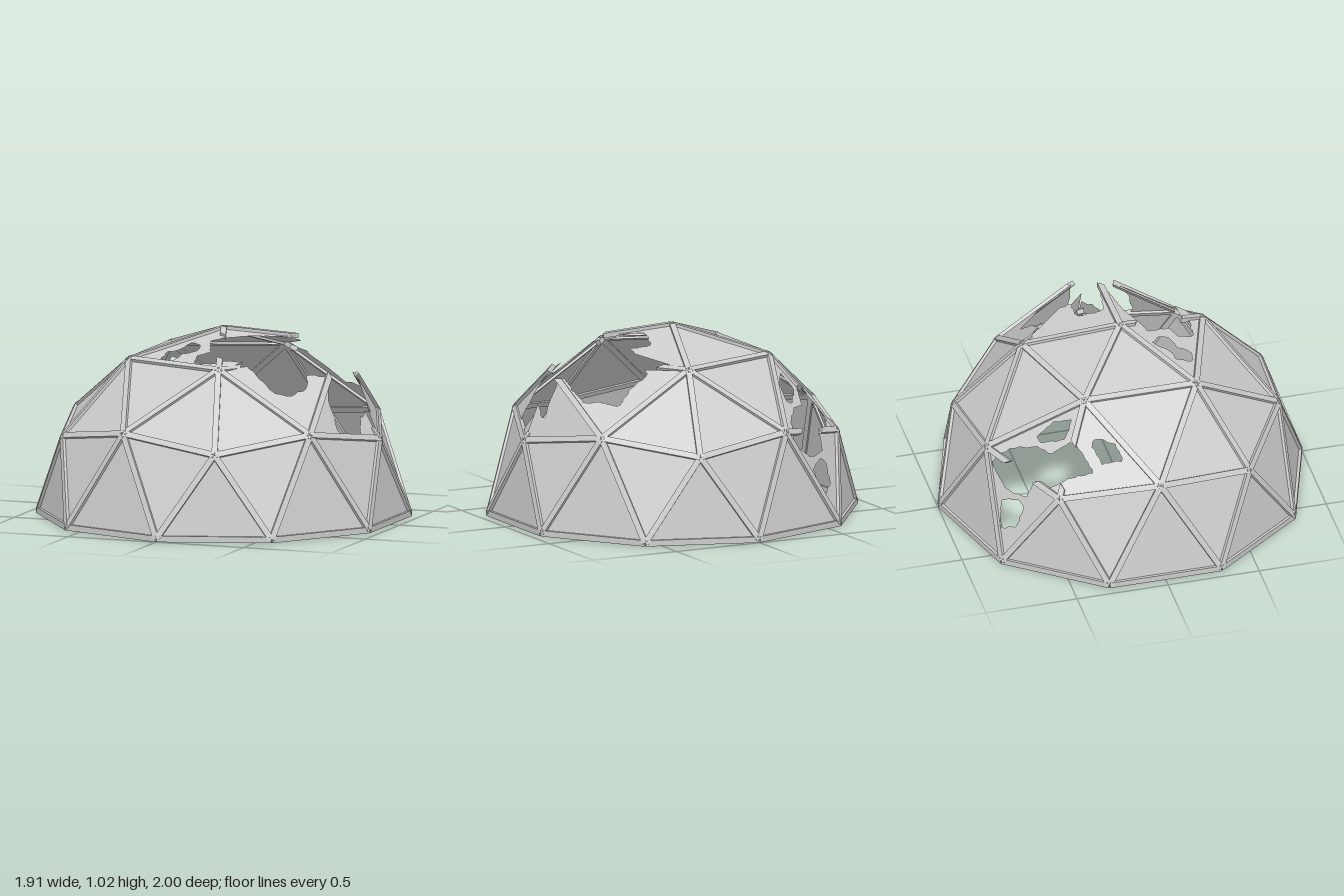
import * as THREE from 'three';

const R = 0.987, LIFT = 0.013, STRUT_W = 0.032, STRUT_D = 0.026;
const v3 = (x, y, z) => new THREE.Vector3(x, y, z);
const v2 = (x, y) => new THREE.Vector2(x, y);

// Dome corners: apex A, rings M, V and E of five, ground ring G of ten
const P = { A: v3(0, R + LIFT, 0) };
const ring = (name, count, start, r, y) => {
  for (let i = 0; i < count; i++) {
    const a = THREE.MathUtils.degToRad(start + (i * 360) / count);
    P[name + i] = v3(r * R * Math.cos(a), y * R + LIFT, r * R * Math.sin(a));
  }
};
ring('M', 5, 0, 0.526, 0.851);
ring('V', 5, 0, 0.894, 0.447);
ring('E', 5, 36, 0.851, 0.526);
ring('G', 10, 18, 1, 0);

// Panels as corner names
const panels = [];
for (let i = 0; i < 5; i++) {
  const n = (i + 1) % 5, g = 2 * i;
  panels.push(['A', 'M' + i, 'M' + n], ['M' + i, 'M' + n, 'E' + i],
    ['M' + i, 'V' + i, 'E' + i], ['M' + n, 'V' + n, 'E' + i],
    ['V' + i, 'G' + g, 'G' + ((g + 9) % 10)], ['V' + i, 'E' + i, 'G' + g],
    ['E' + i, 'G' + g, 'G' + (g + 1)], ['E' + i, 'V' + n, 'G' + (g + 1)]);
}

// Corner M0 was blown outward; its fragments point to different places
function corner(name, others) {
  if (name !== 'M0') return P[name];
  if (others.includes('A')) return v3(0.53, 0.975, 0);
  if (others.includes('E0')) return v3(0.64, 0.9, 0);
  if (others.includes('E4')) return v3(0.73, 0.83, 0);
  return P.M0;
}

// Broken struts: fraction left at the first and at the second end
const broken = {
  'A-M0': [0.79, 0], 'A-M1': [0.22, 0.28], 'M0-M1': [0, 0.25], 'M0-M4': [0, 0.3],
  'E0-M0': [0.75, 0], 'E4-M0': [0.87, 0], 'M0-V0': [0, 0.2],
  'M3-V3': [0.47, 0.15], 'E3-V3': [0.32, 0.35],
};

// Torn openings, outlined in a projection plane
const roofTears = {
  hits: c => c.y > 0.55 && c.x > -0.3,
  project: p => v2(p.x, p.z),
  outlines: [
    [[0.41, -0.01], [0.18, -0.04], [0.22, -0.18], [0.35, -0.18], [0.34, -0.37], [0.44, -0.37], [0.54, -0.41],
      [0.61, -0.31], [0.67, -0.28], [0.70, -0.08], [0.81, -0.07], [0.80, 0.06], [0.85, 0.18], [0.75, 0.27],
      [0.68, 0.22], [0.66, 0.14], [0.55, 0.2], [0.58, 0.27], [0.52, 0.37], [0.44, 0.41], [0.27, 0.37],
      [0.16, 0.37], [0.11, 0.41], [-0.02, 0.4], [-0.03, 0.31], [0.03, 0.28], [-0.02, 0.15], [0.18, 0.06], [0.41, 0.01]],
    [[-0.12, 0.15], [-0.05, 0.2], [-0.06, 0.26], [-0.13, 0.28], [-0.15, 0.35], [-0.23, 0.34], [-0.23, 0.25], [-0.17, 0.24]],
  ],
};
const sideTears = {
  hits: c => c.x * -0.56 + c.z * -0.83 > 0.35,
  project: p => v2(-0.83 * p.x + 0.56 * p.z, 0.839 * p.y + 0.545 * (0.56 * p.x + 0.83 * p.z)),
  outlines: [
    [[-0.18, -0.06], [-0.09, 0.06], [0.04, 0.12], [0.14, 0.12], [0.22, 0.23], [0.28, 0.2], [0.38, 0.12],
      [0.31, 0.06], [0.22, -0.04], [0.12, -0.04], [0.09, -0.15], [-0.05, -0.16]],
    [[-0.06, -0.22], [0.05, -0.18], [0.09, -0.21], [0.07, -0.32], [-0.03, -0.37]],
    [[0.01, 0.16], [0.07, 0.28], [0.16, 0.33], [0.17, 0.22], [0.05, 0.15]],
    [[0.3, 0.29], [0.41, 0.3], [0.48, 0.24], [0.4, 0.18], [0.32, 0.24]],
  ],
};

// Signed distance to an outline, negative inside
function signedDistance(p, outline) {
  let d = Infinity, inside = false;
  outline.forEach(([ax, ay], i) => {
    const [bx, by] = outline[(i + 1) % outline.length];
    const ex = bx - ax, ey = by - ay, px = p.x - ax, py = p.y - ay;
    const t = THREE.MathUtils.clamp((px * ex + py * ey) / (ex * ex + ey * ey), 0, 1);
    d = Math.min(d, Math.hypot(px - t * ex, py - t * ey));
    if ((ay > p.y) !== (by > p.y) && p.x < ax + ((p.y - ay) / ey) * ex) inside = !inside;
  });
  return inside ? -d : d;
}

// Distance to the nearest torn edge, slightly ragged
function tearField(p, tears) {
  let d = 1;
  for (const t of tears) {
    const q = t.project(p);
    for (const o of t.outlines) d = Math.min(d, signedDistance(q, o));
    d += 0.006 * Math.sin(87 * q.x + 31 * q.y) * Math.sin(93 * q.y - 29 * q.x);
  }
  return d;
}

// Keeps the part of a small triangle that lies outside the tears
function clipCell(cell, tears, out) {
  const f = cell.map(p => tearField(p, tears)), kept = [];
  for (let i = 0; i < 3; i++) {
    const j = (i + 1) % 3;
    if (f[i] > 0) kept.push(cell[i]);
    if ((f[i] > 0) !== (f[j] > 0)) kept.push(cell[i].clone().lerp(cell[j], f[i] / (f[i] - f[j])));
  }
  for (let i = 1; i + 1 < kept.length; i++) out.push(kept[0], kept[i], kept[i + 1]);
}

function panelGeometry(names) {
  let [a, b, c] = names.map(n => corner(n, names));
  const mid = a.clone().add(b).add(c).divideScalar(3);
  const normal = b.clone().sub(a).cross(c.clone().sub(a));
  if (normal.dot(mid) < 0) [b, c] = [c, b];
  const tears = [roofTears, sideTears].filter(t => t.hits(mid));
  let pts = [];
  if (!tears.length) pts = [a, b, c];
  else {
    const N = 26;
    const at = (i, j) => a.clone().addScaledVector(b.clone().sub(a), i / N).addScaledVector(c.clone().sub(a), j / N);
    for (let i = 0; i < N; i++) for (let j = 0; i + j < N; j++) {
      clipCell([at(i, j), at(i + 1, j), at(i, j + 1)], tears, pts);
      if (i + j < N - 1) clipCell([at(i + 1, j), at(i + 1, j + 1), at(i, j + 1)], tears, pts);
    }
  }
  const g = new THREE.BufferGeometry().setFromPoints(pts);
  g.computeVertexNormals();
  return g;
}

// Square beam from a to b, its depth facing outward; a snapped end is notched
function strut(a, b, material, snapped) {
  const dir = b.clone().sub(a), len = dir.length();
  dir.normalize();
  const g = new THREE.BoxGeometry(STRUT_W, len, STRUT_D);
  const pos = g.attributes.position;
  if (snapped) for (let i = 0; i < pos.count; i++) {
    if (pos.getY(i) > 0 && pos.getX(i) > 0) pos.setY(i, pos.getY(i) - Math.min(0.03, len / 2));
  }
  const mid = a.clone().add(b).multiplyScalar(0.5);
  const out = mid.clone().addScaledVector(dir, -mid.dot(dir)).normalize();
  const mesh = new THREE.Mesh(g, material);
  mesh.quaternion.setFromRotationMatrix(new THREE.Matrix4().makeBasis(dir.clone().cross(out), dir, out));
  mesh.position.copy(mid);
  return mesh;
}

export function createModel() {
  const model = new THREE.Group();
  model.name = 'damagedDome';
  const panelMat = new THREE.MeshStandardMaterial({ color: 0xcccccc, flatShading: true, side: THREE.DoubleSide });
  const strutMat = new THREE.MeshStandardMaterial({ color: 0xcccccc, flatShading: true });
  const edges = new Set();

  // Triangular panels
  for (const names of panels) {
    const mesh = new THREE.Mesh(panelGeometry(names), panelMat);
    mesh.name = 'panel';
    model.add(mesh);
    names.forEach((n, i) => edges.add([n, names[(i + 1) % 3]].sort().join('-')));
  }

  // Frame struts, whole or snapped
  for (const key of edges) {
    const names = key.split('-');
    const [a, b] = names.map(n => corner(n, names));
    const add = (from, to, name) => {
      const mesh = strut(from, to, strutMat, name === 'brokenStrut');
      mesh.name = name;
      model.add(mesh);
    };
    if (!broken[key]) { add(a, b, 'strut'); continue; }
    const [s, e] = broken[key];
    if (s) add(a, a.clone().lerp(b, s), 'brokenStrut');
    if (e) add(b, b.clone().lerp(a, e), 'brokenStrut');
  }
  return model;
}
